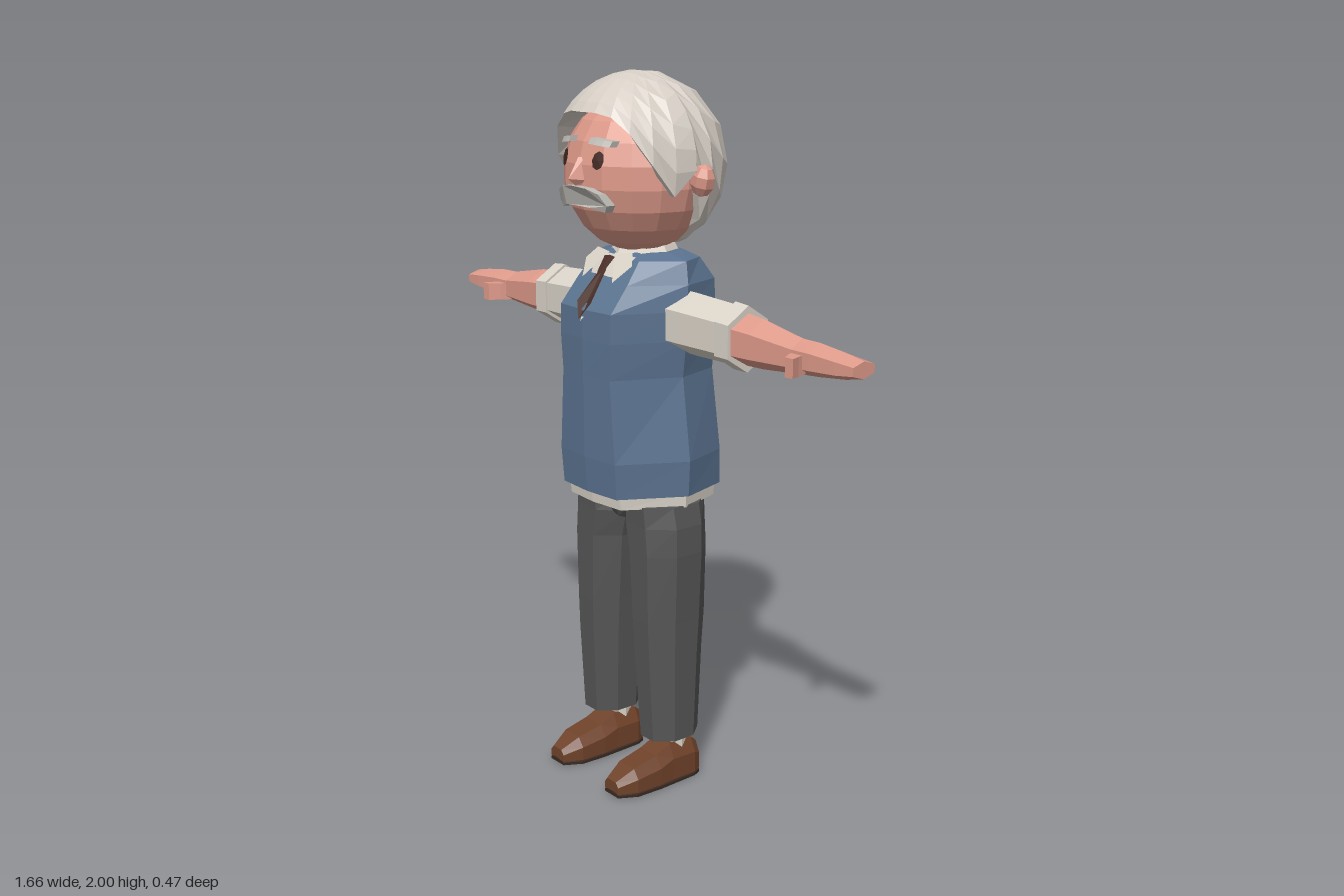
import * as THREE from 'three';

const mat = (name, color) => {
  const m = new THREE.MeshStandardMaterial({ color, flatShading: true });
  m.name = name;
  return m;
};

// Closed skin through a row of equal-length rings, wound outward whichever way the rings run.
function loft(rings) {
  const tris = [], n = rings[0].length;
  const mid = r => [0, 1, 2].map(k => r.reduce((s, p) => s + p[k], 0) / n);
  const first = rings[0], last = rings[rings.length - 1];
  const c0 = mid(first), c1 = mid(last);
  for (let j = 0; j < n; j++) {
    const k = (j + 1) % n;
    tris.push([c0, first[k], first[j]], [c1, last[j], last[k]]);
    for (let i = 0; i + 1 < rings.length; i++) {
      const a = rings[i], b = rings[i + 1];
      tris.push([a[j], a[k], b[k]], [a[j], b[k], b[j]]);
    }
  }
  const V = p => new THREE.Vector3(...p).sub(new THREE.Vector3(...c0));
  const volume = tris.reduce((s, t) => s + V(t[0]).dot(V(t[1]).cross(V(t[2]))), 0);
  if (volume < 0) tris.forEach(t => t.reverse());
  return fromTriangles(tris);
}

function fromTriangles(tris) {
  const g = new THREE.BufferGeometry();
  g.setAttribute('position', new THREE.Float32BufferAttribute(tris.flat(2), 3));
  g.computeVertexNormals();
  return g;
}

// Front of the face at (x, y)
const faceZ = (x, y) =>
  0.205 * Math.sqrt(Math.max(0, 1 - (x / 0.208) ** 2 - ((y - 1.735) / 0.215) ** 2));

function wrapOnFace(g) {
  const p = g.attributes.position;
  for (let i = 0; i < p.count; i++) p.setZ(i, p.getZ(i) + faceZ(p.getX(i), p.getY(i)));
  g.computeVertexNormals();
  return g;
}

// Thin facet lying on one half of the sloping chest
function chestPlate(points, s, lift) {
  const p = points.map(([x, y]) =>
    [s * x, y, 0.195 - Math.max(0, y - 1.38) * 0.82 - 0.09 * x + lift]);
  if (s < 0) p.reverse();
  return fromTriangles(p.slice(2).map((q, i) => [p[0], p[i + 1], q]));
}

export function createModel() {
  const root = new THREE.Group();
  root.name = 'standingMan';
  const skin = mat('skin', 0xde9a8a), hairMat = mat('hair', 0xd6cec5);
  const cloth = mat('shirt', 0xdad3c8), vestMat = mat('vest', 0x5b7390);
  const trousers = mat('trousers', 0x565656), leather = mat('leather', 0x70432a);
  const soleMat = mat('sole', 0x3a2a22), tieMat = mat('tie', 0x4a2f28);
  const eyeMat = mat('eye', 0x40251f), greyMat = mat('moustache', 0xbcb9b3);
  const add = (name, g, m, x = 0, y = 0, z = 0) => {
    const mesh = new THREE.Mesh(g, m);
    mesh.name = name;
    mesh.position.set(x, y, z);
    root.add(mesh);
    return mesh;
  };

  // Head and neck
  const headGeo = new THREE.SphereGeometry(1, 16, 11);
  headGeo.scale(0.208, 0.215, 0.205);
  add('head', headGeo, skin, 0, 1.735, 0);
  add('neck', new THREE.CylinderGeometry(0.07, 0.075, 0.16, 8), skin, 0, 1.53, -0.02);
  add('nose', loft([
    [[-0.012, 1.785, 0.19], [0.012, 1.785, 0.19], [0, 1.785, 0.204]],
    [[-0.024, 1.725, 0.19], [0.024, 1.725, 0.19], [0, 1.73, 0.237]],
    [[-0.016, 1.71, 0.19], [0.016, 1.71, 0.19], [0, 1.712, 0.215]],
  ]), skin);

  // Hair cap: hairline height every 15 degrees from brow to nape
  const hairline = [1.9, 1.9, 1.89, 1.85, 1.77, 1.69, 1.755, 1.62, 1.56, 1.545, 1.54, 1.54, 1.54];
  const hairRing = (f, tuck) => Array.from({ length: 24 }, (_, j) => {
    const a = j * Math.PI / 12, end = Math.acos((hairline[j > 12 ? 24 - j : j] - 1.765) / 0.237);
    const t = end * f, q = Math.sin(t);
    const r = 0.237 * (t > Math.PI / 2 ? q ** 0.8 : q) * tuck;
    return [r * Math.sin(a), 1.765 + 0.237 * Math.cos(t), r * Math.cos(a)];
  });
  const hairRings = [0.08, 0.25, 0.42, 0.58, 0.72, 0.86, 1].map(f => hairRing(f, 1));
  add('hair', loft([...hairRings, hairRing(1, 0.65)]), hairMat);

  // Moustache
  const lip = new THREE.Shape([[-0.1, 1.665], [-0.085, 1.695], [-0.05, 1.708], [0, 1.712], [0.05, 1.708],
    [0.085, 1.695], [0.1, 1.665], [0.09, 1.647], [0.05, 1.658], [0, 1.66], [-0.05, 1.658],
    [-0.09, 1.647]].map(p => new THREE.Vector2(...p)));
  const lipGeo = new THREE.ExtrudeGeometry(lip, { depth: 0.03, bevelEnabled: false });
  lipGeo.translate(0, 0, -0.008);
  add('moustache', wrapOnFace(lipGeo), greyMat);

  // Vest and shirt hem; each row is height, half width, front z, back z, side-back z
  const bodyRing = ([y, w, zf, zb, zs, zm = 0]) => [
    [0, zf], [0.55 * w, zf - 0.01], [w, zm], [0.78 * w, zs],
    [0, zb], [-0.78 * w, zs], [-w, zm], [-0.55 * w, zf - 0.01],
  ].map(([x, z]) => [x, y, z]);
  add('vest', loft([
    [0.87, 0.215, 0.185, -0.215, -0.155], [0.97, 0.22, 0.192, -0.21, -0.15],
    [1.2, 0.188, 0.195, -0.195, -0.14], [1.3, 0.2, 0.197, -0.198, -0.14],
    [1.38, 0.2, 0.195, -0.2, -0.14], [1.45, 0.195, 0.138, -0.19, -0.14, -0.01],
    [1.51, 0.175, 0.088, -0.13, -0.1, -0.02], [1.525, 0.1, 0.06, -0.11, -0.09, -0.02],
  ].map(bodyRing)), vestMat);
  add('shirtHem', loft([[0.835, 0.203, 0.165, -0.195, -0.14], [0.88, 0.205, 0.17, -0.198, -0.142]]
    .map(bodyRing)), cloth);
  add('collar', new THREE.CylinderGeometry(0.082, 0.115, 0.06, 8), cloth, 0, 1.512, -0.02);
  add('hips', loft([[0.775, 0.06, 0.075, -0.085, -0.07], [0.85, 0.19, 0.105, -0.115, -0.1]]
    .map(bodyRing)), trousers);

  const oval = (cx, cy, cz, rx, rz) => Array.from({ length: 8 }, (_, j) => {
    const a = (j + 0.5) * Math.PI / 4;
    return [cx + rx * 1.08 * Math.cos(a), cy, cz + rz * 1.08 * Math.sin(a)];
  });

  for (const s of [1, -1]) {
    const side = s > 0 ? 'left' : 'right';

    // Eyes, brows and ears
    const eye = new THREE.CircleGeometry(1, 8);
    eye.scale(0.017, 0.024, 1).translate(s * 0.07, 1.78, 0.006);
    add(side + 'Eye', wrapOnFace(eye), eyeMat);
    const brow = new THREE.BoxGeometry(0.062, 0.015, 0.024, 3, 1, 1);
    brow.rotateZ(-s * 0.12).translate(s * 0.073, 1.826, 0.008);
    add(side + 'Brow', wrapOnFace(brow), greyMat);
    const ear = new THREE.SphereGeometry(1, 7, 5);
    ear.scale(0.035, 0.044, 0.032).rotateZ(-s * 0.25);
    add(side + 'Ear', ear, skin, s * 0.232, 1.728, -0.025);

    // Shirt opening, collar flap and tie
    add(side + 'ShirtFront', chestPlate([[0, 1.35], [0.085, 1.52], [0, 1.52]], s, 0.008), cloth);
    add(side + 'CollarFlap', chestPlate([[0.012, 1.525], [0.065, 1.455], [0.1, 1.5], [0.075, 1.53]], s, 0.018), cloth);
    add(side + 'Tie', chestPlate([[0, 1.355], [0.03, 1.4], [0.012, 1.485], [0, 1.485]], s, 0.014), tieMat);
    add(side + 'TieKnot', chestPlate([[0, 1.47], [0.012, 1.475], [0.022, 1.515], [0, 1.518]], s, 0.019), tieMat);

    // Arm rows: x, centre y, centre z, y radius, z radius
    const armRing = ([x, cy, cz, ry, rz]) => Array.from({ length: 6 }, (_, j) => {
      const a = j * Math.PI / 3;
      return [s * x, cy + ry * Math.cos(a), cz + rz * 1.15 * Math.sin(a)];
    });
    const arm = (name, rows, m) => add(side + name, loft(rows.map(armRing)), m);
    arm('Sleeve', [[0.12, 1.35, -0.02, 0.085, 0.075], [0.22, 1.347, -0.02, 0.085, 0.07],
      [0.39, 1.343, -0.02, 0.08, 0.065]], cloth);
    arm('Cuff', [[0.37, 1.342, -0.02, 0.09, 0.071], [0.42, 1.34, -0.02, 0.088, 0.07]], cloth);
    arm('Forearm', [[0.4, 1.34, -0.02, 0.07, 0.062], [0.48, 1.337, -0.02, 0.065, 0.055],
      [0.62, 1.33, -0.02, 0.046, 0.04]], skin);
    arm('Hand', [[0.61, 1.33, -0.02, 0.046, 0.04], [0.68, 1.332, -0.02, 0.043, 0.042],
      [0.77, 1.332, -0.02, 0.033, 0.041], [0.828, 1.333, -0.02, 0.022, 0.037]], skin);
    const thumbRing = (x, z, w) => [[-w, 0.022], [w, 0.022], [w, -0.028], [-w, -0.028]]
      .map(([dx, dy]) => [s * (x + dx), 1.323 + dy, z]);
    add(side + 'Thumb', loft([thumbRing(0.635, 0.005, 0.022), thumbRing(0.645, 0.035, 0.018),
      thumbRing(0.66, 0.065, 0.014)]), skin);

    // Trouser leg and sock
    add(side + 'Leg', loft([
      [0.84, 0.11, -0.005, 0.09, 0.11], [0.78, 0.111, -0.005, 0.102, 0.108],
      [0.7, 0.122, -0.005, 0.093, 0.107], [0.5, 0.126, -0.005, 0.082, 0.103],
      [0.4, 0.128, -0.003, 0.078, 0.097], [0.14, 0.132, -0.005, 0.067, 0.083],
    ].map(([y, x, z, rx, rz]) => oval(s * x, y, z, rx, rz))), trousers);
    add(side + 'Sock', new THREE.CylinderGeometry(0.042, 0.042, 0.08, 8), cloth, s * 0.13, 0.12, -0.02);

    // Shoe rows: z, half width, base y, top y
    const shoeRing = ([z, w, y0, y1]) => [[-w, y0], [w, y0], [w, y0 + 0.6 * (y1 - y0)], [0.62 * w, y1],
      [-0.62 * w, y1], [-w, y0 + 0.6 * (y1 - y0)]].map(([x, y]) => [s * 0.13 + x, y, z]);
    const shoe = (name, rows, m) => add(side + name, loft(rows.map(shoeRing)), m);
    shoe('Shoe', [[-0.085, 0.042, 0.012, 0.095], [-0.06, 0.053, 0.012, 0.115], [0.02, 0.053, 0.012, 0.118],
      [0.07, 0.057, 0.012, 0.095], [0.15, 0.053, 0.012, 0.078], [0.205, 0.03, 0.014, 0.048]], leather);
    shoe('Sole', [[-0.085, 0.043, 0, 0.014], [-0.06, 0.054, 0, 0.014], [0.07, 0.058, 0, 0.014],
      [0.15, 0.054, 0, 0.014], [0.205, 0.03, 0.003, 0.016]], soleMat);
  }
  return root;
}
